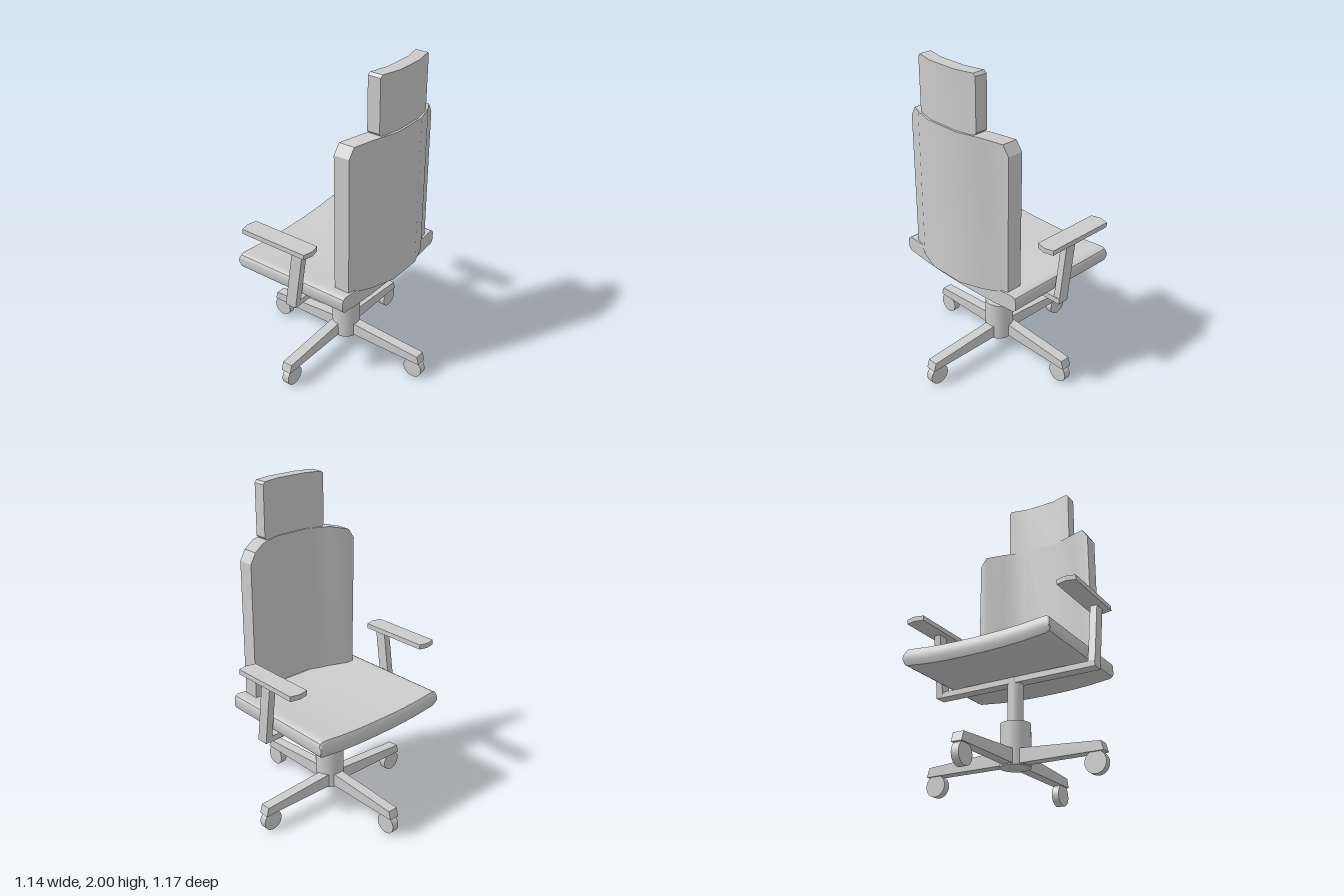
import * as THREE from 'three';
import { toCreasedNormals } from 'three/addons/utils/BufferGeometryUtils.js';

const material = new THREE.MeshStandardMaterial({ color: 0xcccccc });

function add(parent, name, geometry, x = 0, y = 0, z = 0) {
  const mesh = new THREE.Mesh(geometry, material);
  mesh.name = name;
  mesh.position.set(x, y, z);
  parent.add(mesh);
  return mesh;
}

// Mirror stations listed from the outer edge to the middle: [x, ...values]
const mirrored = (half) => [
  ...half.map(([x, ...v]) => [-x, ...v]),
  ...half.filter(([x]) => x > 0).reverse(),
];

// Skin convex (y, z) sections along x, ordered top back, top front, bottom front, bottom back
function loft(stations, section) {
  const rings = stations.map(([x, ...v]) => section(...v).map(([y, z]) => [x, y, z]));
  const n = rings[0].length, last = rings.length - 1, index = [];
  for (let i = 0; i < last; i++) {
    for (let j = 0; j < n; j++) {
      const a = i * n + j, b = a + n, c = i * n + (j + 1) % n, d = c + n;
      index.push(a, b, c, b, d, c);
    }
  }
  for (let j = 1; j < n - 1; j++) {
    index.push(0, j, j + 1, last * n, last * n + j + 1, last * n + j);
  }
  const geometry = new THREE.BufferGeometry();
  geometry.setAttribute('position', new THREE.Float32BufferAttribute(rings.flat(2), 3));
  geometry.setIndex(index);
  return toCreasedNormals(geometry, 0.55);
}

// Flat outline extruded about its own middle plane
function plate(points, depth) {
  const shape = new THREE.Shape(points.map(([x, y]) => new THREE.Vector2(x, y)));
  return new THREE.ExtrudeGeometry(shape, { depth, bevelEnabled: false }).translate(0, 0, -depth / 2);
}

export function createModel() {
  const model = new THREE.Group();
  model.name = 'officeChair';
  const upper = new THREE.Group();
  upper.name = 'upperChair';
  upper.position.x = 0.005;
  model.add(upper);

  // Dished seat with a bulging front edge: [x, top, bottom]
  const seat = mirrored([
    [0.47, 0.73, 0.68], [0.462, 0.745, 0.665], [0.445, 0.754, 0.656], [0.41, 0.752, 0.653],
    [0.3, 0.741, 0.641], [0.2, 0.735, 0.635], [0.1, 0.732, 0.632], [0, 0.731, 0.631],
  ]);
  add(upper, 'seat', loft(seat, (t, b) => [
    [t, 0.328], [t, -0.44], [t * 0.7 + b * 0.3, -0.454], [t * 0.3 + b * 0.7, -0.454], [b, -0.44], [b, 0.328],
  ]));

  // Curved panels: [x, top, bottom, front z]
  const panel = (depth) => (t, b, z) => [[t, z + depth], [t, z], [b, z], [b, z + depth]];
  add(upper, 'backrest', loft(mirrored([
    [0.393, 1.58, 0.735, 0.215], [0.355, 1.64, 0.735, 0.22],
    [0.255, 1.662, 0.735, 0.277], [0.115, 1.667, 0.735, 0.325],
  ]), panel(0.098)));
  add(upper, 'headrest', loft(mirrored([
    [0.222, 1.985, 1.68, 0.302], [0.208, 2, 1.665, 0.305], [0.095, 2, 1.665, 0.333],
  ]), panel(0.078)));

  // Arm bracket under the seat, leaning posts and arm pads
  add(upper, 'armCrossbar', new THREE.BoxGeometry(1.05, 0.035, 0.072), 0, 0.6145, -0.005);
  const pad = plate([
    [-0.058, -0.135], [0, -0.149], [0.058, -0.135], [0.058, 0.315], [0, 0.329], [-0.058, 0.315],
  ], 0.03).rotateX(-Math.PI / 2);
  for (const [side, label] of [[1, 'left'], [-1, 'right']]) {
    const topZ = -0.057 * side;
    const post = plate([
      [0.041, 0.598], [0.041 - topZ - 0.005, 0.995], [-0.031 - topZ - 0.005, 0.995], [-0.031, 0.598],
    ], 0.043).rotateY(Math.PI / 2);
    add(upper, label + 'ArmPost', post, side * 0.5035);
    add(upper, label + 'Armrest', pad, side * 0.504, 1.005, 0);
  }

  // Gas lift
  add(model, 'liftSleeve', new THREE.CylinderGeometry(0.088, 0.088, 0.25, 32), 0.004, 0.235, 0);
  add(model, 'liftPiston', new THREE.CylinderGeometry(0.046, 0.046, 0.32, 32), 0.004, 0.48, 0);

  // Two crossing beams form the four legs, with a wheel under each end
  const wheel = toCreasedNormals(
    new THREE.CylinderGeometry(0.063, 0.063, 0.045, 32).rotateX(Math.PI / 2), 0.6);
  for (const [name, end, axle, x, z, turn] of [
    ['sideLegs', 0.56, 0.505, 0, -0.03, 0],
    ['frontBackLegs', 0.575, 0.524, 0.006, 0, Math.PI / 2],
  ]) {
    const legs = new THREE.Group();
    legs.name = name;
    legs.position.set(x, 0, z);
    legs.rotation.y = turn;
    model.add(legs);
    add(legs, 'legBeam', plate([
      [-end, 0.117], [end, 0.117], [end - 0.016, 0.17], [0.08, 0.2], [-0.08, 0.2], [-end + 0.016, 0.17],
    ], 0.065));
    for (const s of [-1, 1]) add(legs, 'casterWheel', wheel, s * axle, 0.063, 0);
  }
  return model;
}
